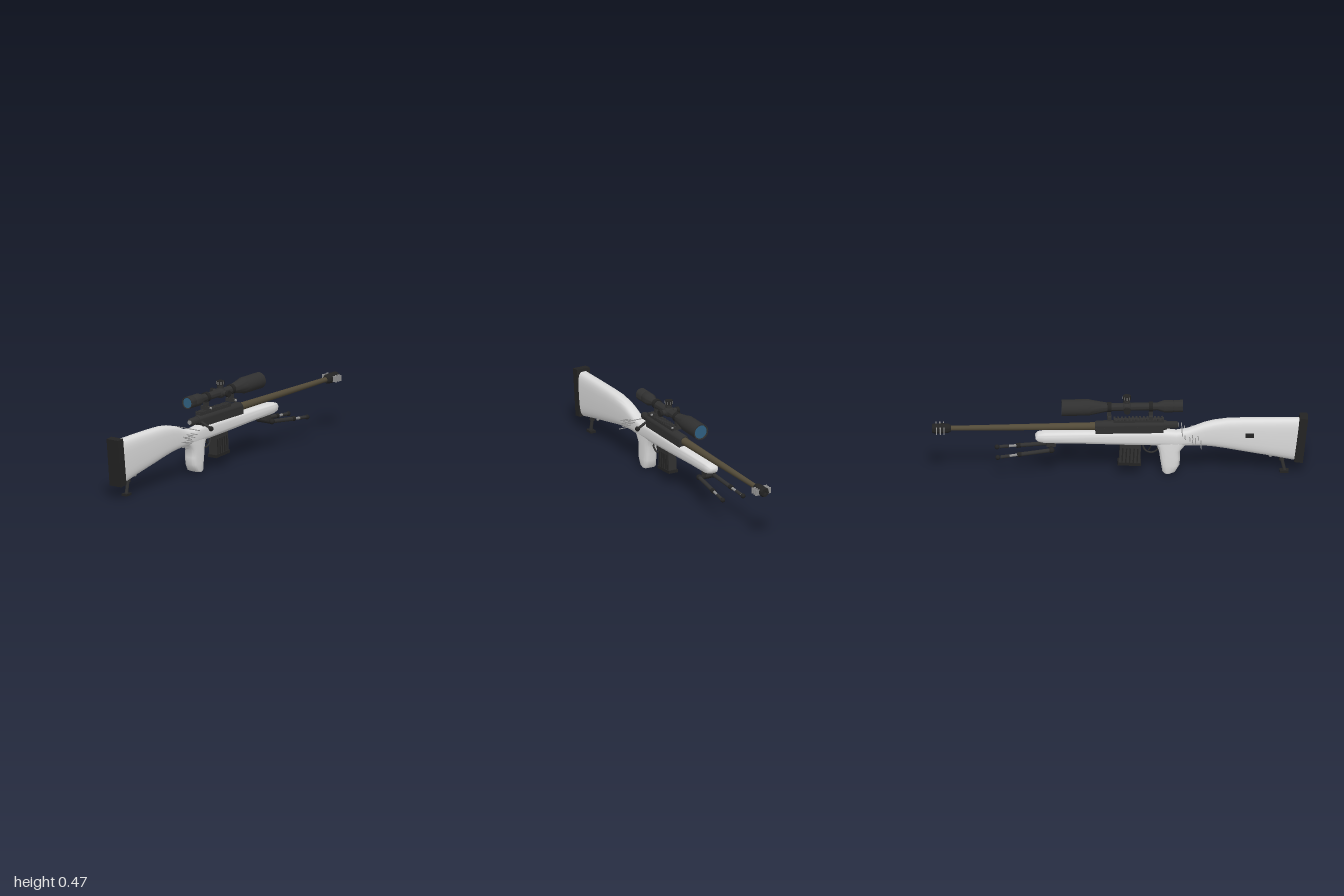
import * as THREE from 'three';
import { toCreasedNormals } from 'three/addons/utils/BufferGeometryUtils.js';

const mat = (name, color) => new THREE.MeshStandardMaterial({ name, color });
const white = mat('white stock', 0xdadada);
const dark = mat('dark metal', 0x303030);
const black = mat('black rubber', 0x232323);
const grey = mat('bare steel', 0x8e8e8e);
const olive = mat('olive barrel', 0x524a38);
const blue = mat('lens blue', 0x2f5f80);
const V = (x, y, z = 0) => new THREE.Vector3(x, y, z);

// Lofts closed rings of points, with both ends capped
function loft(rings) {
  const n = rings[0].length, pos = [], idx = [];
  rings.forEach(r => r.forEach(p => pos.push(p.x, p.y, p.z)));
  for (let i = 0; i < rings.length - 1; i++)
    for (let j = 0; j < n; j++) {
      const a = i * n + j, c = i * n + (j + 1) % n;
      idx.push(a, c, a + n, c, c + n, a + n);
    }
  [0, rings.length - 1].forEach((ri, end) => {
    const mid = rings[ri].reduce((s, p) => s.add(p), V(0, 0)).divideScalar(n);
    const m = pos.length / 3;
    pos.push(mid.x, mid.y, mid.z);
    for (let j = 0; j < n; j++) {
      const a = ri * n + j, b = ri * n + (j + 1) % n;
      if (end) idx.push(m, a, b); else idx.push(m, b, a);
    }
  });
  const g = new THREE.BufferGeometry();
  g.setAttribute('position', new THREE.Float32BufferAttribute(pos, 3));
  g.setIndex(idx);
  return toCreasedNormals(g, 0.9);
}

// Rounded-square ring: place(u, v) turns the two coordinates into a point
function ring(place, power = 3.4, n = 28) {
  const soft = t => Math.sign(t) * Math.pow(Math.abs(t), 2 / power);
  return Array.from({ length: n }, (_, j) => {
    const a = j / n * Math.PI * 2;
    return place(soft(Math.cos(a)), soft(Math.sin(a)));
  });
}

export function createModel() {
  const model = new THREE.Group();
  model.name = 'rifle';
  model.position.z = -0.008;
  const root = new THREE.Group();
  root.name = 'rifleParts';
  model.add(root);

  const add = (name, geo, m) => {
    const mesh = new THREE.Mesh(geo, m);
    mesh.name = name;
    root.add(mesh);
    return mesh;
  };
  const box = (name, m, x, y, z, w, h, d) => {
    const mesh = add(name, new THREE.BoxGeometry(w, h, d), m);
    mesh.position.set(x, y, z);
    return mesh;
  };
  const rod = (name, m, a, b, r1, r2 = r1, sides = 16) => {
    const mesh = add(name, new THREE.CylinderGeometry(r2, r1, a.distanceTo(b), sides), m);
    mesh.position.copy(a).lerp(b, 0.5);
    mesh.quaternion.setFromUnitVectors(V(0, 1), b.clone().sub(a).normalize());
    return mesh;
  };
  const ball = (name, m, p, r) => add(name, new THREE.SphereGeometry(r, 16, 10), m).position.copy(p);
  // Turned part along x from [x, radius] pairs
  const turned = (name, m, y, profile) => {
    const g = new THREE.LatheGeometry(profile.map(([x, r]) => new THREE.Vector2(r, x)), 24);
    add(name, toCreasedNormals(g.rotateZ(-Math.PI / 2), 0.6), m).position.y = y;
  };

  // Stock: x, top, bottom, half width
  const stock = [
    [-0.94, 0.318, 0.075, 0.037], [-0.8, 0.32, 0.103, 0.038], [-0.65, 0.321, 0.133, 0.038],
    [-0.57, 0.319, 0.15, 0.038], [-0.5, 0.31, 0.163, 0.037], [-0.45, 0.297, 0.169, 0.036],
    [-0.4, 0.277, 0.172, 0.035], [-0.36, 0.262, 0.172, 0.035], [-0.3, 0.252, 0.17, 0.036],
    [-0.22, 0.262, 0.175, 0.037], [0, 0.262, 0.184, 0.038], [0.25, 0.261, 0.196, 0.037],
    [0.4, 0.26, 0.2, 0.036], [0.435, 0.255, 0.208, 0.032], [0.45, 0.242, 0.22, 0.022],
  ];
  add('stock', loft(stock.map(([x, t, b, w]) => ring((u, v) =>
    V(x + (x < -0.9 ? (0.2 - (t + b) / 2 - u * (t - b) / 2) * 0.12 : 0), (t + b) / 2 + u * (t - b) / 2, v * w)))), white);

  // Pistol grip: y, back x, front x, half width
  const grip = [
    [0.013, -0.272, -0.235, 0.034], [0.022, -0.295, -0.224, 0.037], [0.06, -0.317, -0.218, 0.038],
    [0.1, -0.32, -0.212, 0.038], [0.14, -0.32, -0.207, 0.037], [0.17, -0.345, -0.196, 0.036],
    [0.2, -0.38, -0.17, 0.034],
  ];
  add('pistolGrip', loft(grip.map(([y, a, b, w]) => ring((u, v) =>
    V((a + b) / 2 + v * (b - a) / 2, y, u * w)))), white);

  // Slanted butt pad
  const pad = new THREE.Shape([[-1, 0.328], [-0.972, 0.068], [-0.926, 0.075], [-0.957, 0.332]]
    .map(([x, y]) => new THREE.Vector2(x, y)));
  add('buttPad', new THREE.ExtrudeGeometry(pad, { depth: 0.078, bevelEnabled: false })
    .translate(0, 0, -0.039), black);

  // Rear support leg, stud and side button
  rod('rearLeg', dark, V(-0.876, 0.008), V(-0.856, 0.1), 0.009);
  rod('rearLegCollar', dark, V(-0.862, 0.072), V(-0.856, 0.1), 0.014);
  box('rearFoot', black, -0.873, 0.006, 0, 0.046, 0.012, 0.032);
  ball('slingStud', grey, V(-0.8, 0.097), 0.009);
  box('sideButton', black, -0.69, 0.237, -0.04, 0.045, 0.022, 0.016);

  // Cross pins through the wrist
  [[-0.43, 0.182], [-0.43, 0.21], [-0.415, 0.235], [-0.4, 0.205], [-0.4, 0.225], [-0.385, 0.242],
    [-0.385, 0.212], [-0.37, 0.23], [-0.345, 0.24], [-0.33, 0.26]]
    .forEach(([x, y]) => box('wristPin', grey, x, y, 0, 0.005, 0.003, 0.16));

  // Receiver, bolt and rail
  box('receiverBase', dark, -0.05, 0.272, 0, 0.36, 0.034, 0.06);
  turned('receiver', dark, 0.288, [[-0.25, 0], [-0.25, 0.024], [-0.22, 0.03], [0.12, 0.03], [0.133, 0.026], [0.133, 0]]);
  turned('boltShroud', dark, 0.289, [[-0.31, 0], [-0.31, 0.015], [-0.3, 0.02], [-0.25, 0.021], [-0.24, 0]]);
  rod('boltCap', grey, V(-0.314, 0.289), V(-0.309, 0.289), 0.012);
  rod('boltHandle', dark, V(-0.235, 0.28, 0.02), V(-0.23, 0.253, 0.078), 0.007);
  ball('boltKnob', black, V(-0.23, 0.251, 0.082), 0.0135);
  box('rail', dark, -0.1, 0.319, 0, 0.27, 0.012, 0.036);
  for (let i = 0; i < 14; i++) box('railTooth', dark, -0.225 + i * 0.0195, 0.328, 0, 0.01, 0.01, 0.04);

  // Barrel and muzzle brake
  rod('barrel', olive, V(0.125, 0.288), V(0.92, 0.288), 0.021, 0.013, 20);
  turned('muzzleBrake', black, 0.288, [[0.9, 0], [0.9, 0.018], [0.915, 0.025], [0.94, 0.027], [0.99, 0.027],
    [1, 0.022], [1, 0.01], [0.985, 0.01], [0.985, 0]]);
  [0.937, 0.957, 0.977].forEach(x => box('brakeFin', grey, x, 0.288, 0, 0.006, 0.032, 0.094));

  // Scope
  const sy = 0.4;
  turned('scopeBody', dark, sy, [[-0.327, 0], [-0.327, 0.027], [-0.335, 0.029], [-0.335, 0.033], [-0.29, 0.033],
    [-0.285, 0.03], [-0.278, 0.033], [-0.235, 0.033], [-0.2, 0.021], [0.05, 0.021], [0.15, 0.04],
    [0.165, 0.044], [0.31, 0.044], [0.31, 0.038], [0.3, 0.037], [0.3, 0]]);
  rod('frontLens', blue, V(0.3, sy), V(0.304, sy), 0.0375, 0.0375, 24);
  rod('rearLens', blue, V(-0.331, sy), V(-0.326, sy), 0.0275, 0.0275, 24);
  ball('turretHub', dark, V(-0.037, sy), 0.03);
  rod('topTurret', dark, V(-0.037, sy), V(-0.037, 0.445), 0.017);
  rod('topTurretCap', black, V(-0.037, 0.443), V(-0.037, 0.465), 0.021);
  for (let i = 0; i < 8; i++) {
    const a = i * Math.PI / 4;
    box('turretMark', grey, -0.037 + Math.sin(a) * 0.021, 0.454, Math.cos(a) * 0.021, 0.003, 0.016, 0.003);
  }
  [-1, 1].forEach(s => {
    rod('sideTurret', dark, V(-0.037, sy), V(-0.037, sy, s * 0.045), 0.015);
    rod('sideTurretCap', black, V(-0.037, sy, s * 0.043), V(-0.037, sy, s * 0.059), 0.018);
  });
  [-0.165, 0.057].forEach(x => {
    rod('scopeRing', black, V(x - 0.011, sy), V(x + 0.011, sy), 0.027, 0.027, 20);
    box('ringPost', dark, x, 0.363, 0, 0.02, 0.04, 0.026);
    box('ringFoot', dark, x, 0.342, 0, 0.022, 0.02, 0.056);
    rod('ringScrew', grey, V(x, 0.344, 0.026), V(x, 0.344, 0.036), 0.006);
  });

  // Magazine with ribs and floor plate
  const mag = new THREE.Group();
  mag.name = 'magazine';
  mag.position.set(-0.053, 0.13, 0);
  mag.rotation.z = 0.06;
  root.add(mag);
  const magBox = (name, m, x, y, w, h, d) => {
    const mesh = new THREE.Mesh(new THREE.BoxGeometry(w, h, d), m);
    mesh.name = name;
    mesh.position.set(x, y, 0);
    mag.add(mesh);
  };
  magBox('magazineBody', dark, 0, 0, 0.112, 0.125, 0.046);
  magBox('magazineFloor', black, 0, -0.06, 0.124, 0.016, 0.056);
  for (let i = 0; i < 5; i++) magBox('magazineRib', black, -0.04 + i * 0.02, -0.01, 0.007, 0.085, 0.052);

  // Trigger and guard
  const guard = new THREE.CatmullRomCurve3([V(-0.205, 0.18), V(-0.2, 0.145), V(-0.17, 0.127), V(-0.135, 0.14), V(-0.118, 0.18)]);
  add('triggerGuard', new THREE.TubeGeometry(guard, 20, 0.005, 8), dark);
  const trigger = new THREE.CatmullRomCurve3([V(-0.16, 0.185), V(-0.163, 0.16), V(-0.152, 0.142)]);
  add('trigger', new THREE.TubeGeometry(trigger, 10, 0.004, 8), black);

  // Folded bipod
  box('bipodMount', dark, 0.367, 0.188, 0, 0.05, 0.024, 0.032);
  rod('bipodAxle', black, V(0.367, 0.168, -0.043), V(0.367, 0.168, 0.043), 0.013);
  [-1, 1].forEach(s => {
    const at = t => V(0.365, 0.17, s * 0.043).lerp(V(0.652, 0.141, s * 0.062), t);
    ball('bipodHinge', black, at(0), 0.016);
    rod('bipodUpperLeg', dark, at(0), at(0.6), 0.011);
    rod('bipodCollar', black, at(0.56), at(0.64), 0.013);
    rod('bipodLowerLeg', grey, at(0.6), at(0.95), 0.007);
    rod('bipodLock', dark, at(0.78), at(0.95), 0.009);
    ball('bipodFoot', black, at(1), 0.013);
  });

  return model;
}
